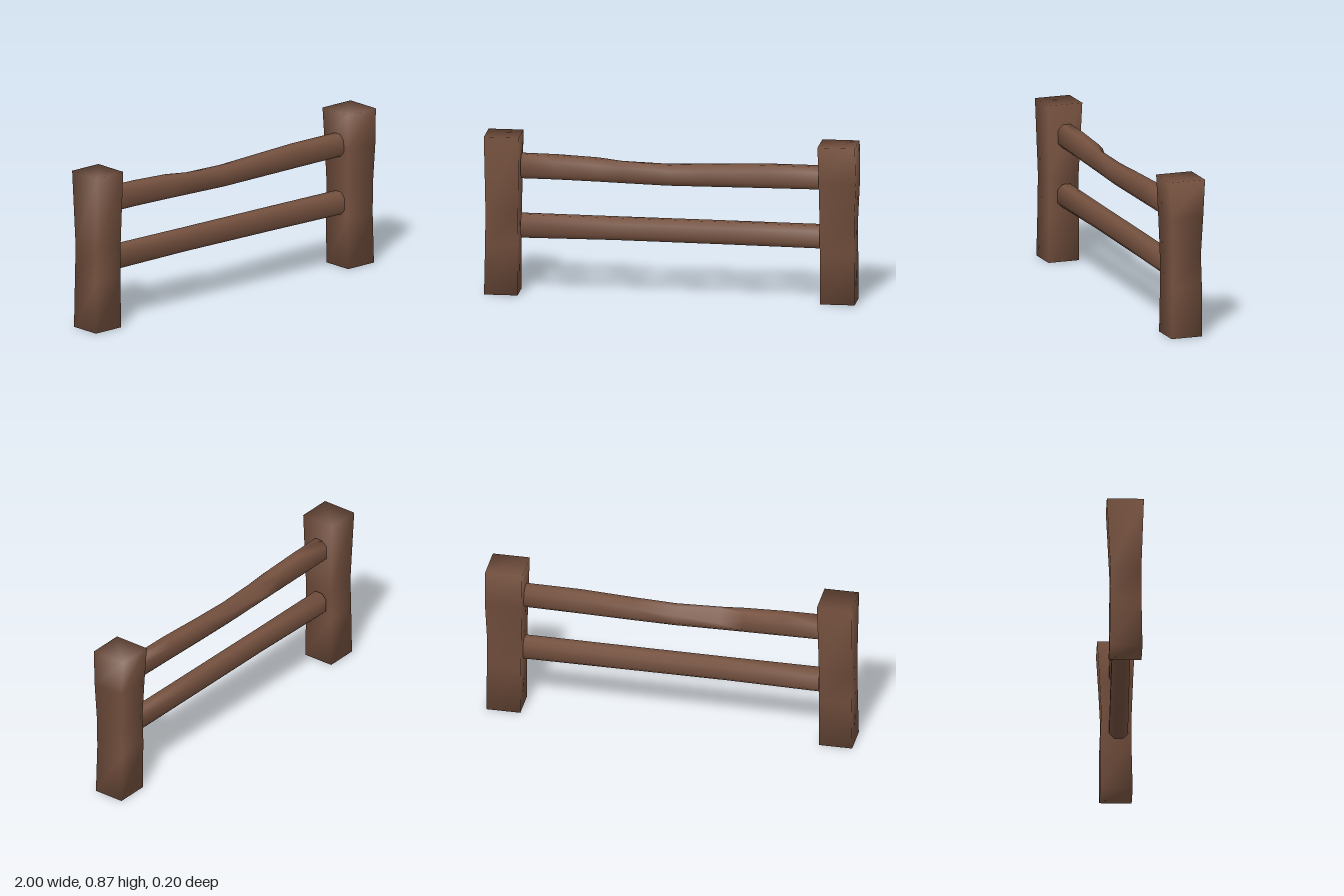
import * as THREE from 'three';

// Skin a list of rings (wound anticlockwise about the path) and close both ends.
function loft(rings) {
  const n = rings[0].length, last = rings.length - 1;
  const positions = rings.flat(2), index = [];
  for (let i = 0; i < last; i++) {
    for (let j = 0; j < n; j++) {
      const a = i * n + j, b = i * n + (j + 1) % n;
      index.push(a, b, b + n, a, b + n, a + n);
    }
  }
  for (let j = 1; j < n - 1; j++) {
    index.push(0, j + 1, j);
    index.push(last * n, last * n + j, last * n + j + 1);
  }
  const geometry = new THREE.BufferGeometry();
  geometry.setAttribute('position', new THREE.Float32BufferAttribute(positions, 3));
  geometry.setIndex(index);
  geometry.computeVertexNormals();
  return geometry;
}

// Post levels: y, x min, x max, z min, z max
function postGeometry(levels) {
  return loft(levels.map(([y, x0, x1, z0, z1]) => [
    [x0, y, z1], [x1, y, z1], [x1, y, z0], [x0, y, z0],
  ]));
}

// Rail sections: x, bottom, top, z min, z max, depth of the chip in the upper back edge
function railGeometry(sections) {
  const c = 0.028;
  return loft(sections.map(([x, y0, y1, z0, z1, chip = 0]) => [
    [x, y1, z0 + c + chip * 0.5], [x, y1, z1 - c],
    [x, y1 - c, z1], [x, y0 + c, z1],
    [x, y0, z1 - c], [x, y0, z0 + c],
    [x, y0 + c, z0], [x, y1 - c - chip, z0 + chip * 0.3],
  ]));
}

export function createModel() {
  const group = new THREE.Group();
  const wood = new THREE.MeshStandardMaterial({ color: 0x75513f });
  wood.name = 'brown wood';

  const add = (name, geometry) => {
    const mesh = new THREE.Mesh(geometry, wood);
    mesh.name = name;
    group.add(mesh);
  };

  // Posts, waisted and a little flared at the top
  add('rightPost', postGeometry([
    [0, -1, -0.82, -0.085, 0.09],
    [0.28, -0.995, -0.82, -0.083, 0.085],
    [0.45, -0.993, -0.818, -0.08, 0.084],
    [0.865, -1, -0.812, -0.1, 0.098],
  ]));
  add('leftPost', postGeometry([
    [0, 0.808, 0.993, -0.083, 0.09],
    [0.28, 0.805, 0.99, -0.084, 0.083],
    [0.45, 0.804, 0.991, -0.078, 0.085],
    [0.66, 0.8, 1, -0.088, 0.093],
    [0.86, 0.795, 0.996, -0.1, 0.102],
  ]));

  // Sagging upper rail with a chip on its back edge
  add('upperRail', railGeometry([
    [-0.81, 0.625, 0.755, -0.06, 0.04],
    [-0.62, 0.624, 0.752, -0.06, 0.042],
    [-0.4, 0.62, 0.742, -0.056, 0.046],
    [-0.27, 0.616, 0.733, -0.052, 0.046, 0.045],
    [-0.02, 0.61, 0.722, -0.047, 0.05, 0.012],
    [0.2, 0.612, 0.728, -0.045, 0.054],
    [0.5, 0.615, 0.74, -0.04, 0.06],
    [0.82, 0.617, 0.74, -0.035, 0.065],
  ]));

  // Straight lower rail
  add('lowerRail', railGeometry([
    [-0.81, 0.3, 0.427, -0.058, 0.042],
    [-0.3, 0.303, 0.424, -0.05, 0.047],
    [0.3, 0.299, 0.421, -0.043, 0.056],
    [0.82, 0.294, 0.418, -0.035, 0.065],
  ]));

  return group;
}
